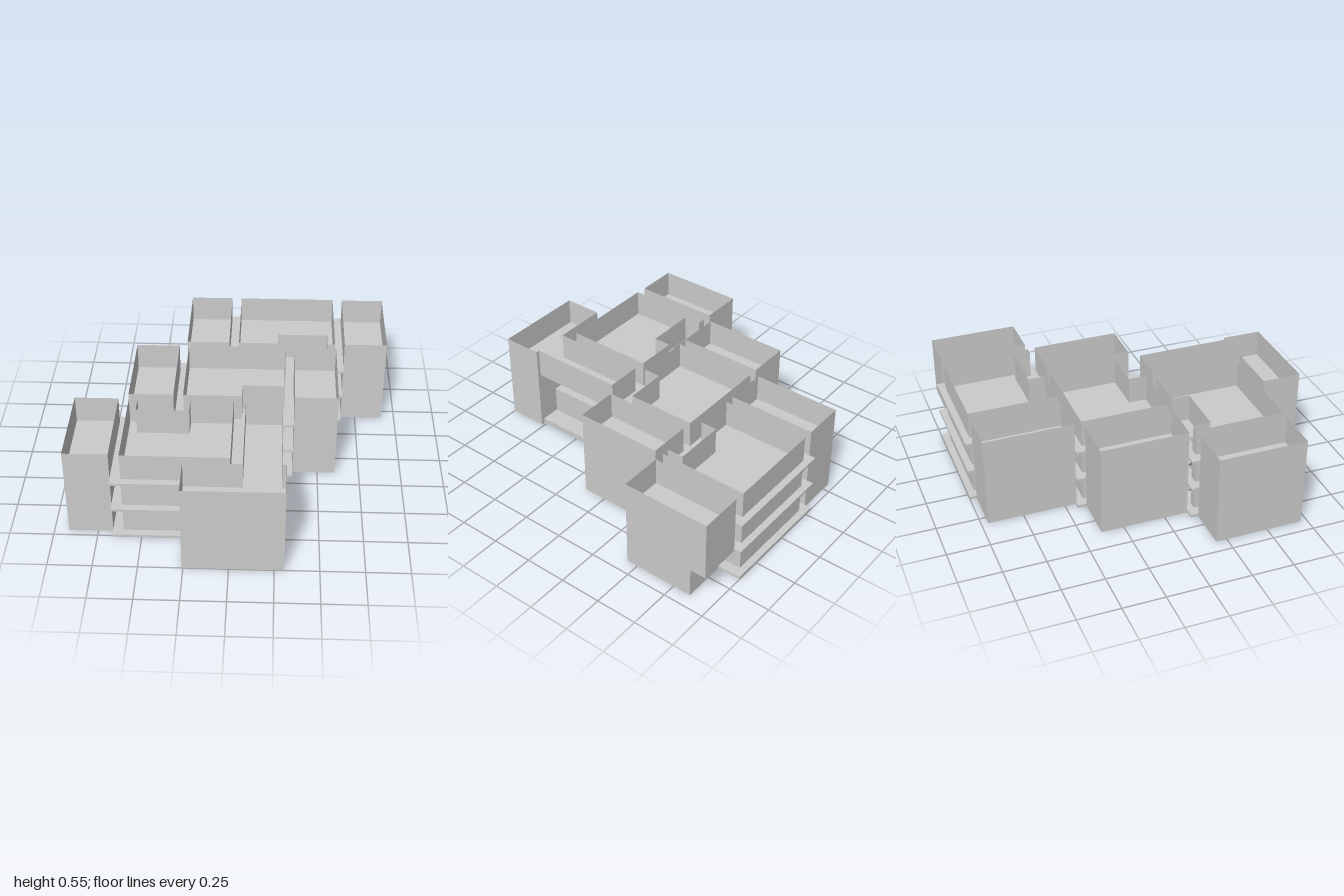
import * as THREE from 'three';

const mat = new THREE.MeshStandardMaterial({ color: 0xcccccc, flatShading: true, side: THREE.DoubleSide });
const LEVELS = [0, 0.185, 0.37], TOP = 0.55, SLAB = 0.016;

const rect = (x0, x1, z0, z1) => [[x0, z0], [x0, z1], [x1, z1], [x1, z0]];

function add(parent, name, geometry) {
  const mesh = new THREE.Mesh(geometry, mat);
  mesh.name = name;
  parent.add(mesh);
  return mesh;
}

// Horizontal plate from a plan outline of [x, z] points, with optional holes
function slab(parent, name, outline, y, holes = [], height = SLAB) {
  const toVec = ([x, z]) => new THREE.Vector2(x, -z);
  const shape = new THREE.Shape(outline.map(toVec));
  for (const h of holes) shape.holes.push(new THREE.Path(h.map(toVec)));
  const geo = new THREE.ExtrudeGeometry(shape, { depth: height, bevelEnabled: false });
  geo.rotateX(-Math.PI / 2).translate(0, y, 0);
  return add(parent, name, geo);
}

// Thin upright walls following a plan outline
function walls(parent, name, plan, y0, y1, closed = true) {
  const pos = [];
  const count = closed ? plan.length : plan.length - 1;
  for (let i = 0; i < count; i++) {
    const [ax, az] = plan[i], [bx, bz] = plan[(i + 1) % plan.length];
    pos.push(ax, y0, az, bx, y0, bz, bx, y1, bz, ax, y0, az, bx, y1, bz, ax, y1, az);
  }
  const geo = new THREE.BufferGeometry();
  geo.setAttribute('position', new THREE.Float32BufferAttribute(pos, 3));
  geo.computeVertexNormals();
  return add(parent, name, geo);
}

// Sloping stair flight between (xa, ya) and (xb, yb)
function flight(parent, xa, ya, xb, yb, z0, z1) {
  const t = 0.012;
  const s = new THREE.Shape([[xa, ya], [xb, yb], [xb, yb - t], [xa, ya - t]].map(p => new THREE.Vector2(...p)));
  const geo = new THREE.ExtrudeGeometry(s, { depth: z1 - z0, bevelEnabled: false });
  geo.translate(0, 0, z0);
  add(parent, 'stairFlight', geo);
}

export function createModel() {
  const model = new THREE.Group();
  model.name = 'staggeredBuilding';

  // Continuous floor plates of the three staggered cores
  const plate = [[-0.665, 0.757], [0.07, 0.757], [0.07, 0.19], [0.35, 0.19], [0.35, -0.38], [0.66, -0.38],
    [0.66, -1], [-0.05, -1], [-0.05, -0.435], [-0.35, -0.435], [-0.35, 0.14], [-0.665, 0.14]];
  const stairHoles = [rect(-0.555, -0.43, 0.215, 0.288), rect(0.045, 0.28, 0.032, 0.076), rect(0.425, 0.553, -0.528, -0.46)];
  LEVELS.forEach((y, i) => slab(model, 'floorPlate', plate, y, i ? stairHoles : []));

  // Core walls, each notched by a stair recess
  const cores = {
    frontCore: [[0, 0.185], [-0.25, 0.185], [-0.25, 0.29], [-0.555, 0.29], [-0.555, 0.185],
      [-0.605, 0.185], [-0.605, 0.715], [0, 0.715]],
    middleCore: [[0.295, -0.385], [-0.295, -0.385], [-0.295, 0.137], [0.045, 0.137], [0.045, 0.03], [0.295, 0.03]],
    backCore: [[0.01, -0.96], [0.6, -0.96], [0.6, -0.43], [0.555, -0.43], [0.555, -0.53],
      [0.25, -0.53], [0.25, -0.43], [0.01, -0.43]],
  };
  for (const [name, plan] of Object.entries(cores)) walls(model, name + 'Walls', plan, SLAB, TOP);

  // Stairs: folded flights front and back, one straight flight in the middle
  for (let i = 0; i < 2; i++) {
    const y0 = LEVELS[i] + SLAB, y1 = LEVELS[i + 1] + SLAB, ym = (y0 + y1) / 2;
    flight(model, -0.43, y0, -0.515, ym, 0.215, 0.25);
    flight(model, -0.515, ym, -0.43, y1, 0.252, 0.287);
    slab(model, 'stairLanding', rect(-0.553, -0.515, 0.215, 0.287), ym - 0.012, [], 0.012);
    flight(model, 0.425, y0, 0.515, ym, -0.527, -0.497);
    flight(model, 0.515, ym, 0.425, y1, -0.495, -0.46);
    slab(model, 'stairLanding', rect(0.515, 0.553, -0.527, -0.46), ym - 0.012, [], 0.012);
    flight(model, 0.28, y0, 0.09, y1, 0.034, 0.075);
    slab(model, 'stairLanding', rect(0.046, 0.09, 0.032, 0.076), y1 - 0.012, [], 0.012);
  }

  // Open-topped side wings
  const wings = [
    ['frontRightWing', -0.918, -0.665, 0.185, 0.71],
    ['middleRightWing', -0.612, -0.352, -0.383, 0.138],
    ['middleLeftWing', 0.352, 0.605, -0.383, 0.14],
    ['backRightWing', -0.307, -0.05, -0.96, -0.43],
  ];
  for (const [name, ...r] of wings) {
    const g = new THREE.Group();
    g.name = name;
    walls(g, 'wingWalls', rect(...r), 0, TOP);
    slab(g, 'wingBase', rect(...r), 0);
    slab(g, 'wingFloor', rect(...r), LEVELS[2]);
    model.add(g);
  }

  // Back left wing overhangs a shorter ground storey
  const upper = rect(0.66, 0.918, -0.957, -0.43), lower = rect(0.66, 0.918, -0.86, -0.43);
  walls(model, 'overhangWalls', upper, LEVELS[1], TOP);
  slab(model, 'overhangSoffit', upper, LEVELS[1]);
  slab(model, 'overhangFloor', upper, LEVELS[2]);
  walls(model, 'groundStoreyWalls', lower, 0, LEVELS[1]);
  slab(model, 'groundStoreyBase', lower, 0);

  // Front block, with a raised L-shaped arm reaching back over the entrance
  const block = rect(-0.257, 0.305, 0.765, 1);
  walls(model, 'frontBlockWalls', block, 0, LEVELS[2]);
  slab(model, 'frontBlockBase', block, 0);
  const arm = [[0.07, 0.765], [-0.257, 0.765], [-0.257, 1], [0.305, 1], [0.305, 0.765],
    [0.283, 0.765], [0.283, 0.19], [0.07, 0.19]];
  walls(model, 'raisedArmWalls', arm, LEVELS[2], TOP);
  slab(model, 'raisedArmFloor', arm, LEVELS[2]);

  // Entrance under the arm: ground plate, lobby and low ramp
  slab(model, 'entrancePlate', rect(0.07, 0.283, 0.19, 0.765), 0);
  walls(model, 'lobbyWalls', rect(0.0, 0.165, 0.21, 0.762), SLAB, LEVELS[1]);
  slab(model, 'lobbyRoof', rect(0.0, 0.165, 0.21, 0.762), LEVELS[1]);
  const ramp = new THREE.Shape([[-0.765, 0.001], [-0.42, 0.001], [-0.42, SLAB], [-0.455, 0.036], [-0.765, 0.036]]
    .map(p => new THREE.Vector2(...p)));
  const rampGeo = new THREE.ExtrudeGeometry(ramp, { depth: 0.117, bevelEnabled: false });
  rampGeo.rotateY(Math.PI / 2).translate(0.166, 0, 0);
  add(model, 'entranceRamp', rampGeo);

  return model;
}
